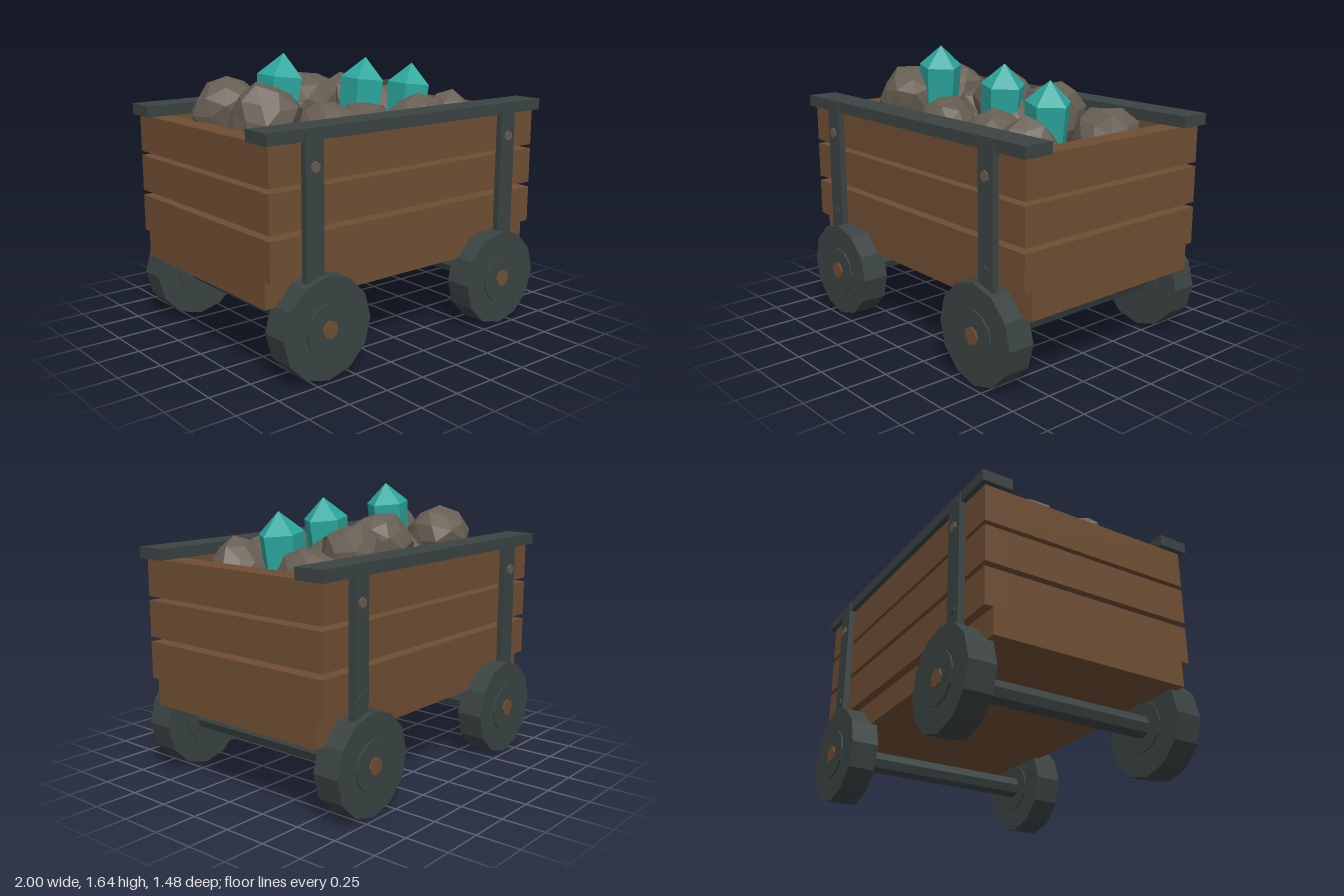
import * as THREE from 'three';
import { mergeGeometries } from 'three/addons/utils/BufferGeometryUtils.js';

const mat = (name, color) => {
  const m = new THREE.MeshStandardMaterial({ color });
  m.name = name;
  return m;
};

// Give every facet its own normal
const flat = (geo) => {
  const g = geo.index ? geo.toNonIndexed() : geo;
  g.computeVertexNormals();
  return g;
};

export function createModel() {
  const wood = mat('wood', 0x6f4e33);
  const iron = mat('iron', 0x3b4343);
  const stone = mat('stone', 0x675d52);
  const crystalMat = mat('crystal', 0x2ba89e);

  const model = new THREE.Group();
  model.name = 'oreCart';

  const add = (name, geo, material, x, y, z, parent = model) => {
    const mesh = new THREE.Mesh(geo, material);
    mesh.name = name;
    mesh.position.set(x, y, z);
    parent.add(mesh);
    return mesh;
  };
  const box = (name, m, w, y0, y1, d, x, z) =>
    add(name, new THREE.BoxGeometry(w, y1 - y0, d), m, x, (y0 + y1) / 2, z);
  // Faceted disc or rod whose axis runs along z
  const disc = (name, m, r, sides, z0, z1, x, y) =>
    add(name, flat(new THREE.CylinderGeometry(r, r, Math.abs(z1 - z0), sides).rotateX(Math.PI / 2)),
      m, x, y, (z0 + z1) / 2);

  // Floor, then three rows of planks with open gaps between them
  box('floor', wood, 1.94, 0.425, 0.6, 1.2, 0, 0);
  for (const [y0, y1] of [[0.575, 0.79], [0.82, 1.03], [1.055, 1.27]]) {
    for (const s of [-1, 1]) {
      box('sidePlank', wood, 1.94, y0, y1, 0.13, 0, s * 0.585);
      box('endPlank', wood, 0.135, y0, y1, 1.04, s * 0.9025, 0);
    }
  }

  for (const s of [-1, 1]) {
    box('topRail', iron, 2, 1.27, 1.335, 0.18, 0, s * 0.59);
    for (const e of [-1, 1]) {
      // Upright strap with its two bolts
      box('strap', iron, 0.115, 0.54, 1.325, 0.04, e * 0.715, s * 0.667);
      disc('upperBolt', stone, 0.03, 6, s * 0.66, s * 0.697, e * 0.715, 1.14);
      disc('lowerBolt', iron, 0.03, 6, s * 0.66, s * 0.695, e * 0.715, 0.645);
      // Wheel, raised hub and wooden axle cap
      disc('wheel', iron, 0.285, 12, s * 0.562, s * 0.722, e * 0.66, 0.285);
      disc('hub', iron, 0.145, 12, s * 0.552, s * 0.732, e * 0.66, 0.285);
      disc('axleCap', wood, 0.05, 8, s * 0.7, s * 0.742, e * 0.66, 0.285);
    }
  }
  for (const e of [-1, 1]) disc('axle', iron, 0.067, 8, -0.56, 0.56, e * 0.66, 0.285);

  // Rough boulders: x, y, z, radius in x, radius in z
  const rocks = [
    [-0.65, 1.3, -0.21, 0.21, 0.19], [-0.64, 1.31, 0.16, 0.21, 0.19],
    [-0.28, 1.2, -0.13, 0.19, 0.19], [-0.11, 1.31, -0.16, 0.2, 0.19],
    [0.24, 1.27, -0.23, 0.2, 0.18], [0.64, 1.18, -0.27, 0.19, 0.19],
    [-0.24, 1.18, 0.19, 0.18, 0.18], [-0.06, 1.18, 0.3, 0.17, 0.18],
    [0.16, 1.2, -0.01, 0.15, 0.15], [0.34, 1.18, 0.31, 0.21, 0.18],
    [0.6, 1.18, 0.31, 0.18, 0.18],
  ];
  rocks.forEach(([x, y, z, rx, rz], i) => {
    const geo = new THREE.IcosahedronGeometry(1, 1);
    const p = geo.attributes.position;
    const v = new THREE.Vector3();
    for (let k = 0; k < p.count; k++) {
      v.fromBufferAttribute(p, k);
      // Same dent for every copy of a shared corner
      v.multiplyScalar(1 + 0.08 * Math.sin(5.1 * v.x + 7.3 * v.y + 3.7 * v.z + i * 2.1));
      p.setXYZ(k, v.x, v.y, v.z);
    }
    geo.rotateY(i * 1.3).rotateX(i * 0.7).scale(rx, 0.195, rz);
    add('rock', flat(geo), stone, x, y, z);
  });

  // Five-sided crystals, slightly leaning: x of tip, height of tip
  for (const [x, tip] of [[-0.45, 1.645], [0.145, 1.59], [0.52, 1.535]]) {
    const shaft = new THREE.CylinderGeometry(0.135, 0.115, 0.38, 5, 1, true, Math.PI / 2);
    const point = new THREE.ConeGeometry(0.135, 0.125, 5, 1, true, Math.PI / 2);
    shaft.translate(0, -0.315, 0);
    point.translate(0, -0.0625, 0);
    const crystal = add('crystal', flat(mergeGeometries([shaft, point])), crystalMat, x, tip, 0.065);
    crystal.rotation.set(0.03, 0, -0.1);
  }

  return model;
}
